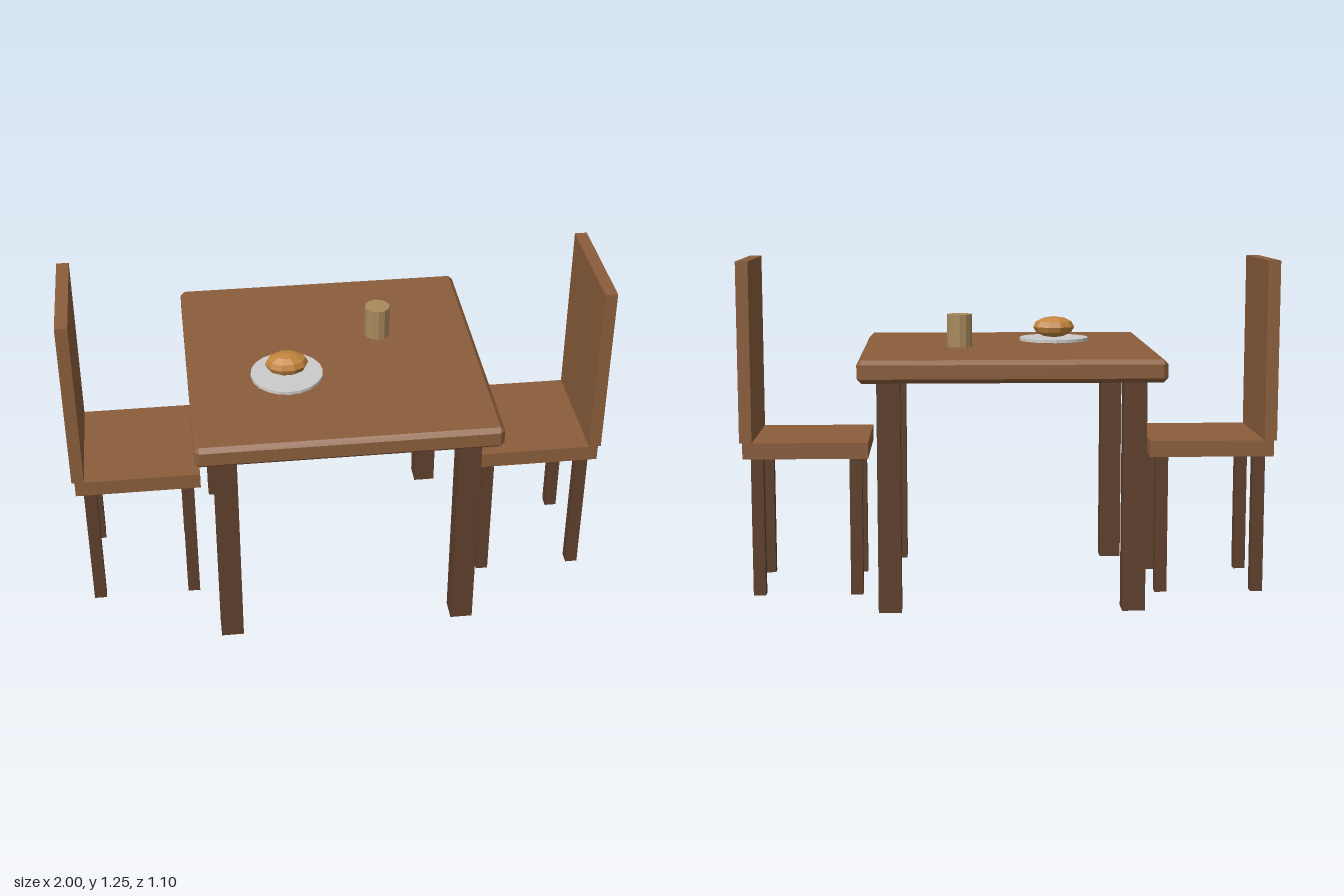
import * as THREE from 'three';
import { ConvexGeometry } from 'three/addons/geometries/ConvexGeometry.js';

const paint = (color) => new THREE.MeshStandardMaterial({ color, flatShading: true });

// Box with every edge chamfered by b
function chamferedBox(w, h, d, b) {
  const points = [];
  for (const x of [-1, 1]) for (const y of [-1, 1]) for (const z of [-1, 1]) {
    for (let axis = 0; axis < 3; axis++) {
      const inset = [b, b, b];
      inset[axis] = 0;
      points.push(new THREE.Vector3(
        x * (w / 2 - inset[0]), y * (h / 2 - inset[1]), z * (d / 2 - inset[2])));
    }
  }
  return new ConvexGeometry(points);
}

export function createModel() {
  const wood = paint(0x8b5e3c);
  const darkWood = paint(0x5f402c);
  const model = new THREE.Group();

  function add(parent, name, geometry, material, x, y, z) {
    const mesh = new THREE.Mesh(geometry, material);
    mesh.name = name;
    mesh.position.set(x, y, z);
    parent.add(mesh);
    return mesh;
  }

  // Table
  const table = new THREE.Group();
  table.name = 'table';
  model.add(table);
  add(table, 'tableTop', chamferedBox(1.096, 0.082, 1.096, 0.016), wood, 0, 0.88, 0);
  const tableLeg = new THREE.BoxGeometry(0.083, 0.84, 0.083);
  for (const x of [-0.44, 0.44]) for (const z of [-0.44, 0.44])
    add(table, 'tableLeg', tableLeg, darkWood, x, 0.42, z);

  // Two chairs facing each other across the table
  const seat = new THREE.BoxGeometry(0.464, 0.06, 0.462);
  const back = new THREE.BoxGeometry(0.046, 0.67, 0.462);
  const chairLeg = new THREE.BoxGeometry(0.046, 0.522, 0.046);
  for (const side of [-1, 1]) {
    const chair = new THREE.Group();
    chair.name = side > 0 ? 'leftChair' : 'rightChair';
    model.add(chair);
    add(chair, 'seat', seat, wood, side * 0.757, 0.552, 0);
    add(chair, 'backrest', back, wood, side * 0.977, 0.917, 0);
    for (const x of [0.573, 0.938]) for (const z of [-0.185, 0.185])
      add(chair, 'chairLeg', chairLeg, darkWood, side * x, 0.261, z);
  }

  // Plate with a bread roll, and a cup
  add(model, 'plate', new THREE.CylinderGeometry(0.133, 0.133, 0.012, 20),
    paint(0xcccccc), -0.185, 0.934, 0.12);
  const bread = add(model, 'breadRoll', new THREE.SphereGeometry(1, 10, 6),
    paint(0xc1843c), -0.185, 0.98, 0.12);
  bread.scale.set(0.08, 0.041, 0.06);
  add(model, 'cup', new THREE.CylinderGeometry(0.047, 0.047, 0.122, 12),
    paint(0xa98a5c), 0.183, 0.989, -0.123);

  return model;
}
